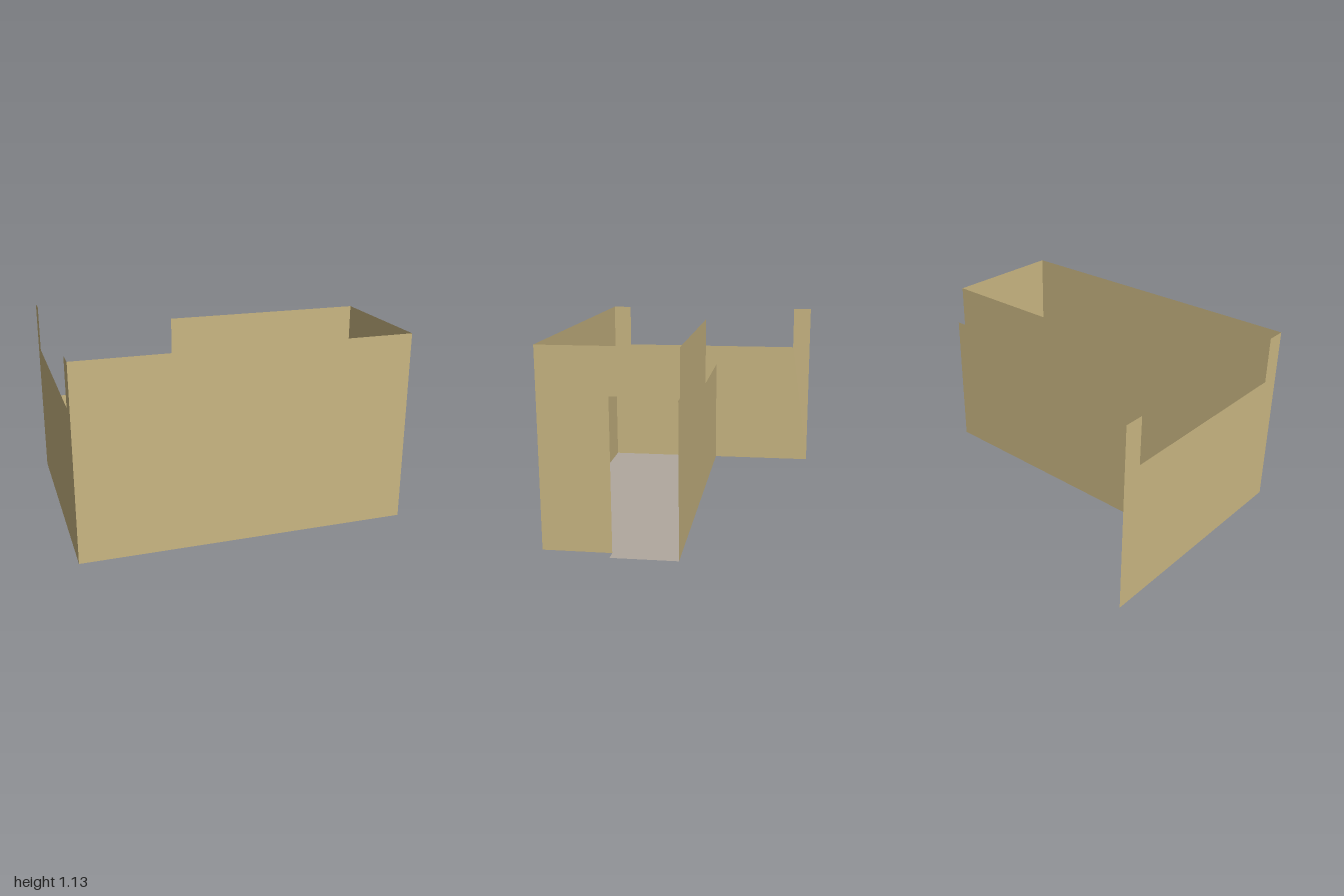
import * as THREE from 'three';

const H = 1.133;           // wall height
const FRONT = 0.725;       // front wall plane (z)
const BACK = -0.04;        // rear wall plane (z)
const SIDE = 0.935;        // plane of the wall with the doorway (x)
const DOOR = 0.87;         // doorway height
const JAMB = 0.335;        // doorway edge (z)

export function createModel() {
  const group = new THREE.Group();

  const wallMaterial = new THREE.MeshStandardMaterial({ color: 0xc9b682, side: THREE.DoubleSide });
  wallMaterial.name = 'tan wall';
  const floorMaterial = new THREE.MeshStandardMaterial({ color: 0xb0a89e, side: THREE.DoubleSide });
  floorMaterial.name = 'grey floor';

  // Paper-thin panel from a 2D outline
  const panel = (name, points, material, place) => {
    const shape = new THREE.Shape(points.map(([a, b]) => new THREE.Vector2(a, b)));
    const geometry = new THREE.ShapeGeometry(shape);
    place(geometry);
    const mesh = new THREE.Mesh(geometry, material);
    mesh.name = name;
    group.add(mesh);
  };
  const facingZ = (z) => (g) => g.translate(0, 0, z);                      // outline is (x, y)
  const facingX = (x) => (g) => g.rotateY(-Math.PI / 2).translate(x, 0, 0); // outline is (z, y)
  const lying = (g) => g.rotateX(Math.PI / 2);                             // outline is (x, z)

  // Floor, with a sill reaching out through the doorway
  panel('floor', [
    [-1, BACK], [1, BACK], [1, JAMB], [SIDE, JAMB], [SIDE, FRONT], [-1, FRONT],
  ], floorMaterial, lying);

  // Plain front wall
  panel('frontWall', [[-1, 0], [SIDE, 0], [SIDE, H], [-1, H]], wallMaterial, facingZ(FRONT));

  // Rear wall: low section, full-height section, and the strip beside the doorway
  panel('rearWall', [
    [-1, 0], [1, 0], [1, DOOR], [SIDE, DOOR], [SIDE, H], [-0.265, H], [-0.265, 0.713], [-1, 0.713],
  ], wallMaterial, facingZ(BACK));

  // Side wall with the doorway and its lintel
  panel('doorwayWall', [
    [FRONT, 0], [FRONT, H], [BACK, H], [BACK, DOOR], [JAMB, DOOR], [JAMB, 0],
  ], wallMaterial, facingX(SIDE));

  // Long side wall with a wide open window between two short posts
  panel('windowWall', [
    [-FRONT, 0], [FRONT, 0], [FRONT, H], [0.605, H], [0.605, 0.852],
    [-0.605, 0.852], [-0.605, H], [-FRONT, H],
  ], wallMaterial, facingX(-1));

  return group;
}
